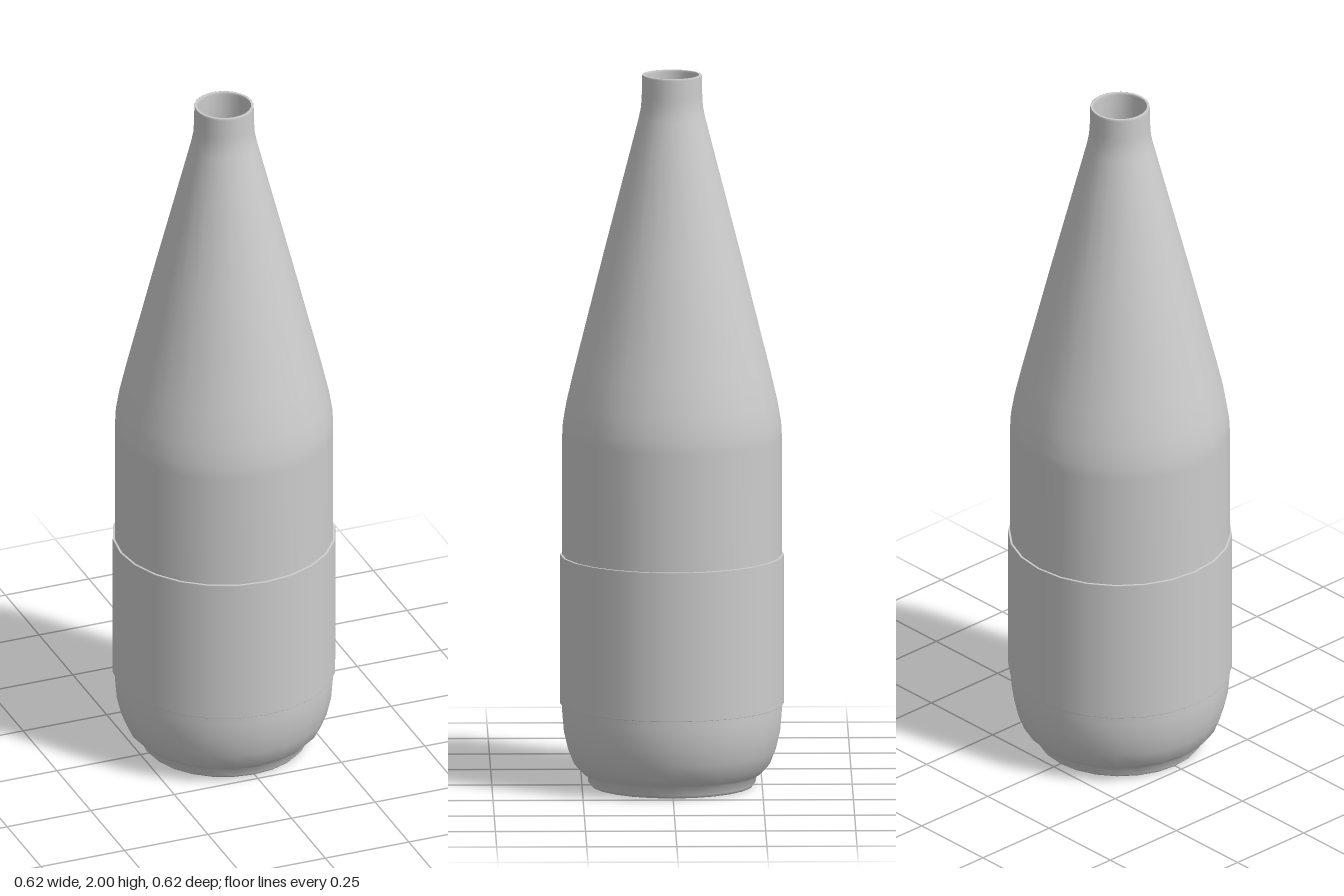
import * as THREE from 'three';

const SIDES = 24;

// Revolve a list of [radius, height] pairs around the y axis
function lathe(name, profile, material) {
  const points = profile.map(([r, y]) => new THREE.Vector2(r, y));
  const mesh = new THREE.Mesh(new THREE.LatheGeometry(points, SIDES), material);
  mesh.name = name;
  return mesh;
}

export function createModel() {
  const glass = new THREE.MeshStandardMaterial({ color: 0xcccccc });
  glass.name = 'pale grey glass';
  const gold = new THREE.MeshStandardMaterial({ color: 0xc9a84c });
  gold.name = 'gold liquid';

  const model = new THREE.Group();
  model.name = 'bottle';

  // Outer wall: recessed base, foot, rounded heel, straight body, long neck
  const outer = [
    [0, 0.035], [0.13, 0.035], [0.135, 0.034], [0.2, 0.004], [0.21, 0], [0.225, 0],
    [0.232, 0.008], [0.235, 0.028], [0.25, 0.038], [0.272, 0.06], [0.288, 0.1],
    [0.3, 0.15], [0.305, 0.21], [0.305, 0.6], [0.305, 0.98], [0.303, 1.02],
    [0.293, 1.08], [0.272, 1.17], [0.192, 1.49], [0.115, 1.79], [0.092, 1.88],
    [0.086, 1.91], [0.084, 1.94], [0.083, 1.995],
  ];
  // Lip and inner wall, running back down to the inside of the base
  const inner = [
    [0.082, 2], [0.081, 2], [0.076, 2], [0.075, 2], [0.074, 1.995], [0.074, 1.92],
    [0.08, 1.88], [0.18, 1.49], [0.28, 1.08], [0.292, 0.98], [0.292, 0.21],
    [0.27, 0.1], [0.22, 0.055], [0, 0.05],
  ];
  model.add(lathe('glassBody', [...outer, ...inner], glass));

  // Thin raised label band around the body
  model.add(lathe('labelBand', [
    [0.304, 0.23], [0.3105, 0.23], [0.311, 0.2305], [0.311, 0.232],
    [0.311, 0.648], [0.311, 0.6495], [0.3105, 0.65], [0.304, 0.65],
  ], glass));

  // Liquid inside, with a flat surface
  model.add(lathe('liquid', [
    [0, 0.055], [0.21, 0.06], [0.26, 0.105], [0.285, 0.21], [0.285, 0.98],
    [0.273, 1.08], [0.174, 1.488],
  ], gold));
  const surface = new THREE.Mesh(new THREE.CircleGeometry(0.174, SIDES), gold);
  surface.name = 'liquidSurface';
  surface.rotation.x = -Math.PI / 2;
  surface.position.y = 1.488;
  model.add(surface);

  return model;
}
